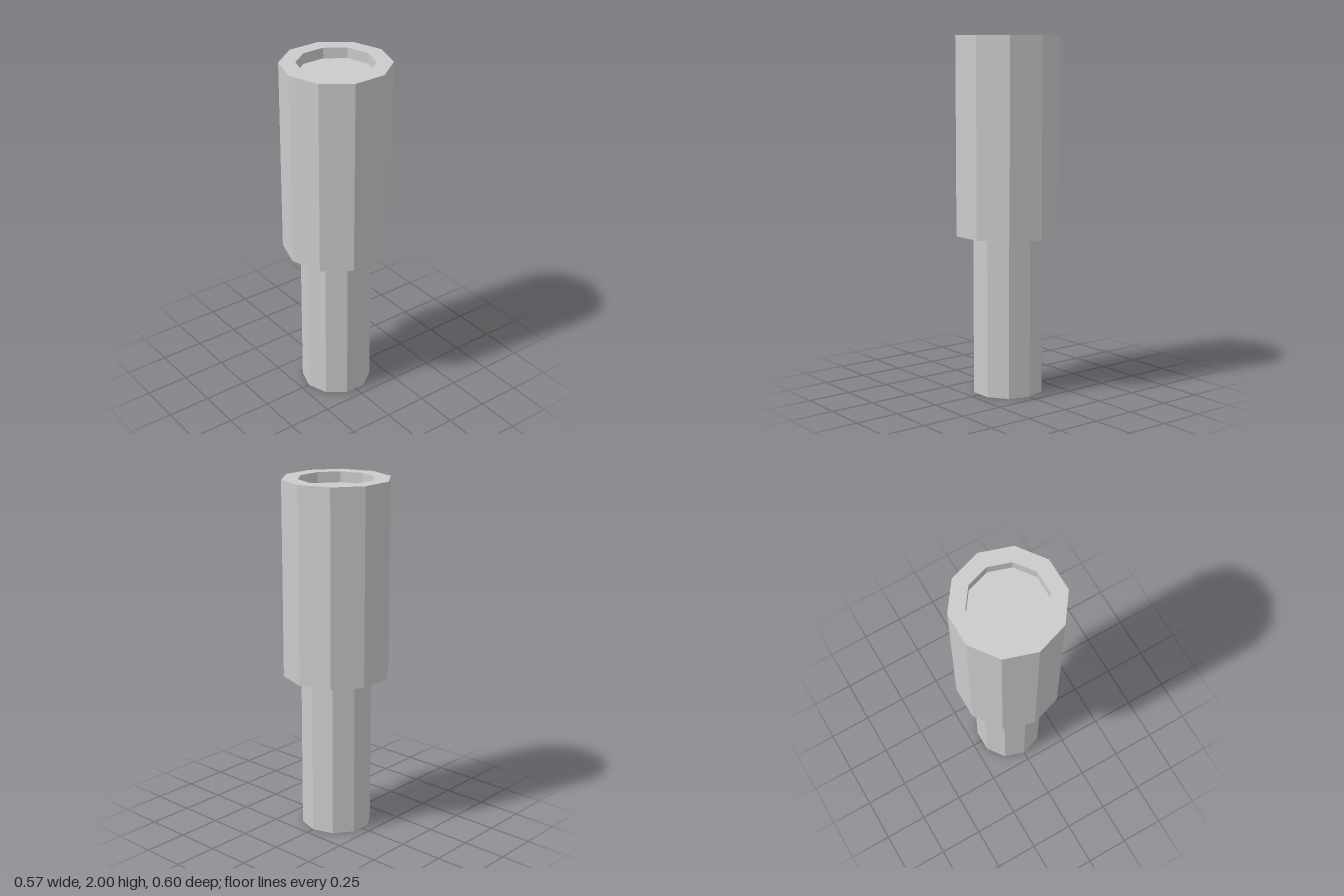
import * as THREE from 'three';

const SIDES = 10;

// Ten-sided turned part from an [radius, height] profile running bottom to top
function turned(name, profile) {
  const points = profile.map(([r, y]) => new THREE.Vector2(r, y));
  const material = new THREE.MeshStandardMaterial({ color: 0xcccccc, flatShading: true });
  const mesh = new THREE.Mesh(new THREE.LatheGeometry(points, SIDES), material);
  mesh.name = name;
  return mesh;
}

export function createModel() {
  const shaftR = 0.2, headR = 0.3, socketR = 0.211;
  const headBottom = 0.9, top = 2, socketFloor = 1.94;

  const model = new THREE.Group();
  model.name = 'steppedPost';

  // Narrow lower shaft with a closed foot
  model.add(turned('shaft', [[0, 0], [shaftR, 0], [shaftR, headBottom]]));

  // Wide head: underside step, outer wall, rim and shallow recess
  model.add(turned('head', [
    [shaftR, headBottom], [headR, headBottom], [headR, top],
    [socketR, top], [socketR, socketFloor], [0, socketFloor],
  ]));

  return model;
}
